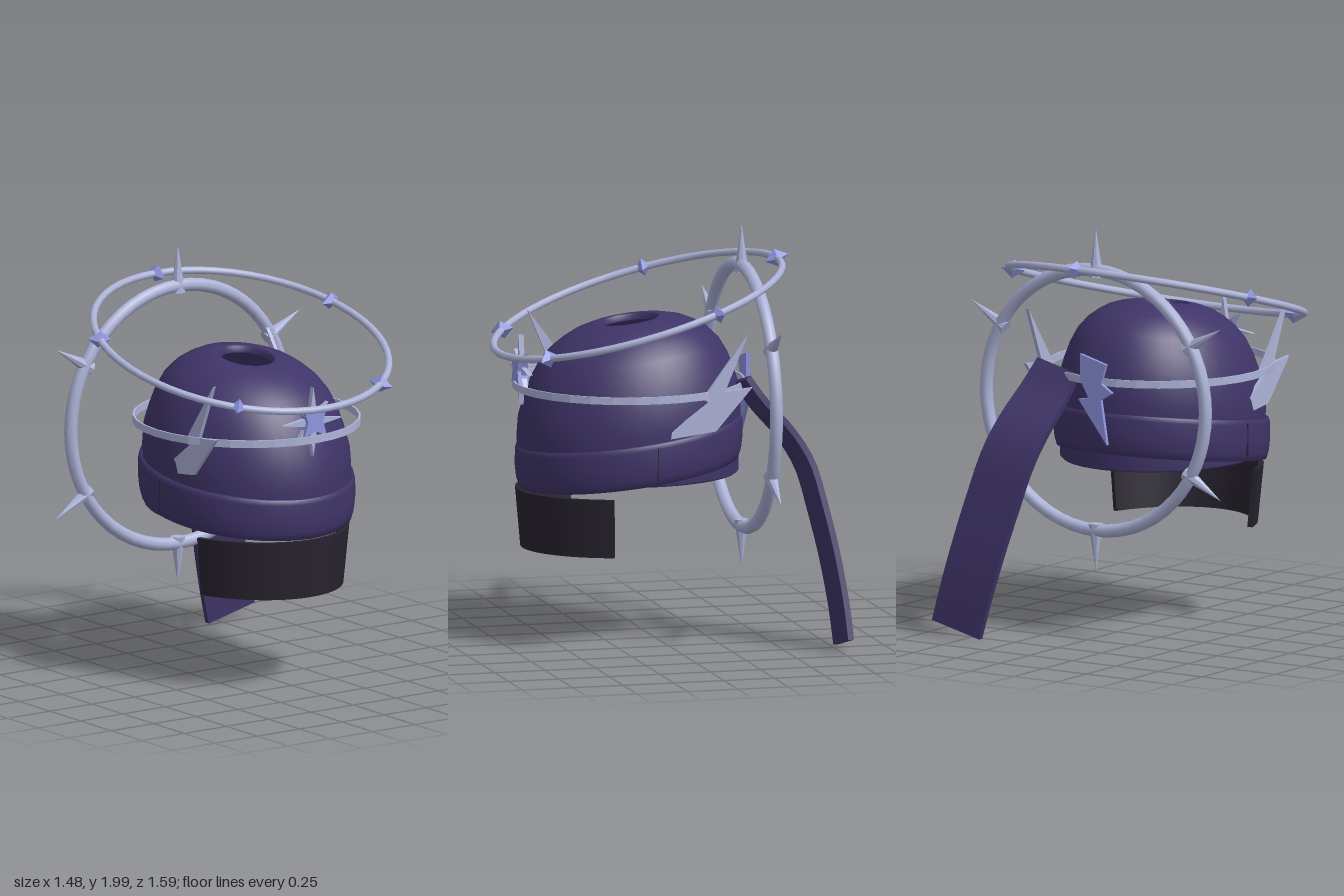
import * as THREE from 'three';

const CZ = 0.13; // centre of the helmet along z
const material = (color, opts = {}) => new THREE.MeshStandardMaterial({ color, ...opts });
const purple = material(0x3f3468, { side: THREE.DoubleSide });
const dark = material(0x28232f, { side: THREE.DoubleSide });
const silver = material(0xadb3d8);
const silverFlat = material(0xadb3d8, { flatShading: true });
const blue = material(0x8f95e0, { flatShading: true });

function add(parent, name, geometry, mat) {
  const mesh = new THREE.Mesh(geometry, mat);
  mesh.name = name;
  parent.add(mesh);
  return mesh;
}

// Elliptical lathe: unit-wide in x, stretched in z, leaning so that its back sits higher
function shell(profile, stretch, lean, segments = 48) {
  const geo = new THREE.LatheGeometry(profile.map(p => new THREE.Vector2(...p)), segments);
  return geo.applyMatrix4(new THREE.Matrix4().set(
    1, 0, 0, 0,
    0, 1, -lean * stretch, 0,
    0, 0, stretch, CZ,
    0, 0, 0, 1));
}

// Move every vertex of a geometry by a rule
function deform(geo, rule) {
  const pos = geo.attributes.position, v = new THREE.Vector3();
  for (let i = 0; i < pos.count; i++) {
    rule(v.fromBufferAttribute(pos, i));
    pos.setXYZ(i, v.x, v.y, v.z);
  }
  geo.computeVertexNormals();
  return geo;
}

// Flat plate cut from an outline and centred on its own thickness
function plate(points, depth) {
  const shape = new THREE.Shape(points.map(p => new THREE.Vector2(...p)));
  return new THREE.ExtrudeGeometry(shape, { depth, bevelEnabled: false }).translate(0, 0, -depth / 2);
}

// Star outline with alternating radii
function star(radii, turn = 0) {
  const n = radii.length;
  return Array.from({ length: n * 4 }, (_, i) => {
    const a = turn + i * Math.PI / 2 / n, r = radii[i % n];
    return [r * Math.cos(a), r * Math.sin(a)];
  });
}

function makeHelmet() {
  const g = new THREE.Group();
  g.name = 'helmet';
  const lean = 0.13;
  // Dome with an open crown
  add(g, 'dome', shell([[0.465, 0.86], [0.476, 1.0], [0.478, 1.08], [0.472, 1.17], [0.448, 1.26], [0.42, 1.34],
    [0.385, 1.41], [0.34, 1.465], [0.29, 1.505], [0.24, 1.535], [0.18, 1.555], [0.135, 1.563],
    [0.122, 1.558], [0.12, 1.53]], 1.13, lean), purple);
  // Turned-up brim
  add(g, 'brim', shell([[0.478, 0.84], [0.488, 0.832], [0.499, 0.87], [0.505, 0.93], [0.504, 1.01], [0.498, 1.032],
    [0.486, 1.036], [0.482, 1.02], [0.482, 0.93], [0.478, 0.84]], 1.085, lean), purple);
  // Seam across the brim on each side
  for (const s of [-1, 1]) {
    add(g, 'brimSeam', new THREE.BoxGeometry(0.006, 0.16, 0.006), dark).position.set(s * 0.503, 0.94, 0.12);
  }
  // Level inner lining
  add(g, 'lining', shell([[0.455, 0.82], [0.465, 0.83], [0.465, 1.0], [0.45, 1.0], [0.455, 0.82]], 1.14, 0), purple);
  // Flat metal band standing off the dome
  add(g, 'band', shell([[0.53, 1.237], [0.54, 1.237], [0.54, 1.273], [0.53, 1.273], [0.53, 1.237]], 1.037, 0, 32),
    material(0xadb3d8, { side: THREE.DoubleSide, flatShading: true }));
  return g;
}

function makeFaceGuard() {
  const half = 1.22; // half of the arc, in radians
  const geo = deform(new THREE.BoxGeometry(1, 1, 1, 28, 1, 1), v => {
    const a = v.x * 2 * half, t = v.y + 0.5, inset = (0.5 - v.z) * 0.025;
    const rx = 0.427 + 0.031 * t - inset, rz = 0.525 + 0.025 * t - inset;
    v.set(rx * Math.sin(a), 0.475 + 0.285 * t, CZ + rz * Math.cos(a));
  });
  return new THREE.Mesh(geo, dark);
}

function makeTail() {
  const spine = new THREE.CatmullRomCurve3([[1.29, -0.36], [1.17, -0.44], [1.03, -0.56], [0.88, -0.645], [0.68, -0.695],
    [0.45, -0.74], [0.22, -0.77], [0.045, -0.782]].map(([y, z]) => new THREE.Vector3(0.565 - 0.243 * (y - 0.04), y, z)));
  const geo = deform(new THREE.BoxGeometry(1, 1, 1, 2, 20, 1), v => {
    const u = 0.5 - v.y, p = spine.getPoint(u), t = spine.getTangent(u).negate();
    const w = v.x * (0.24 + 0.06 * Math.sin(Math.min(1, u * 1.6) * Math.PI / 2) - 0.02 * u);
    const h = v.z * 0.03;
    v.set(p.x + 0.97 * w, p.y + 0.24 * w - t.z * h, p.z + t.y * h);
  });
  return new THREE.Mesh(geo, purple);
}

function makeHalo() {
  const g = new THREE.Group();
  g.name = 'halo';
  const R = 0.717;
  add(g, 'haloRing', new THREE.TorusGeometry(R, 0.018, 8, 56).rotateX(Math.PI / 2), silver);
  // Five gems, the first at the back
  for (let i = 0; i < 5; i++) {
    const a = Math.PI + i * Math.PI * 2 / 5;
    const gem = add(g, 'haloGem', new THREE.OctahedronGeometry(1).scale(0.038, 0.045, 0.06), blue);
    gem.position.set(R * Math.sin(a), 0, R * Math.cos(a));
    gem.rotation.y = a;
  }
  g.position.set(0, 1.625, 0.085);
  g.rotation.x = 0.283;
  return g;
}

function makeBackRing() {
  const g = new THREE.Group();
  g.name = 'backRing';
  add(g, 'spikedRing', new THREE.TorusGeometry(0.633, 0.032, 8, 56), silver);
  // Six spikes pointing outward
  for (let i = 0; i < 6; i++) {
    const spike = add(g, 'ringSpike', new THREE.ConeGeometry(0.036, 0.235, 8).translate(0, 0.7175, 0), silverFlat);
    spike.rotation.z = i * Math.PI / 3;
  }
  g.position.set(0, 1.165, -0.43);
  return g;
}

function makeStarEmblem() {
  const g = new THREE.Group();
  g.name = 'starEmblem';
  add(g, 'largeStar', plate(star([0.17, 0.05, 0.125, 0.05]), 0.025), silver);
  add(g, 'smallStar', plate(star([0.09, 0.045], Math.PI / 4), 0.05), blue).position.z = 0.005;
  g.position.set(0, 1.34, 0.663);
  return g;
}

function makeBolts() {
  const g = new THREE.Group();
  g.name = 'bolts';
  // Side bolts, one half-turn apart; outline runs along -z and y
  const outline = [[0.335, 1.545], [0.11, 1.24], [0.14, 1.22], [-0.1, 1.045], [0.175, 1.08], [0.355, 1.285], [0.22, 1.27]];
  const side = plate(outline.map(([x, y]) => [x + 0.085, y]), 0.018).rotateY(Math.PI / 2).translate(0.462, 0, 0);
  for (const turn of [0, Math.PI]) {
    const bolt = add(g, 'sideBolt', side, silver);
    bolt.position.z = 0.085;
    bolt.rotation.y = turn;
  }
  // Back bolt
  const back = [[0.08, 1.385], [-0.07, 1.345], [-0.04, 1.25], [-0.105, 1.21], [-0.04, 1.17], [-0.075, 0.955],
    [0.09, 1.165], [0.03, 1.175], [0.08, 1.26]];
  add(g, 'backBolt', plate(back, 0.018), blue).position.z = -0.44;
  return g;
}

export function createModel() {
  const model = new THREE.Group();
  model.name = 'spikedHelmet';
  const guard = makeFaceGuard();
  guard.name = 'faceGuard';
  const tail = makeTail();
  tail.name = 'clothTail';
  model.add(makeHelmet(), guard, tail, makeHalo(), makeBackRing(), makeStarEmblem(), makeBolts());
  return model;
}
